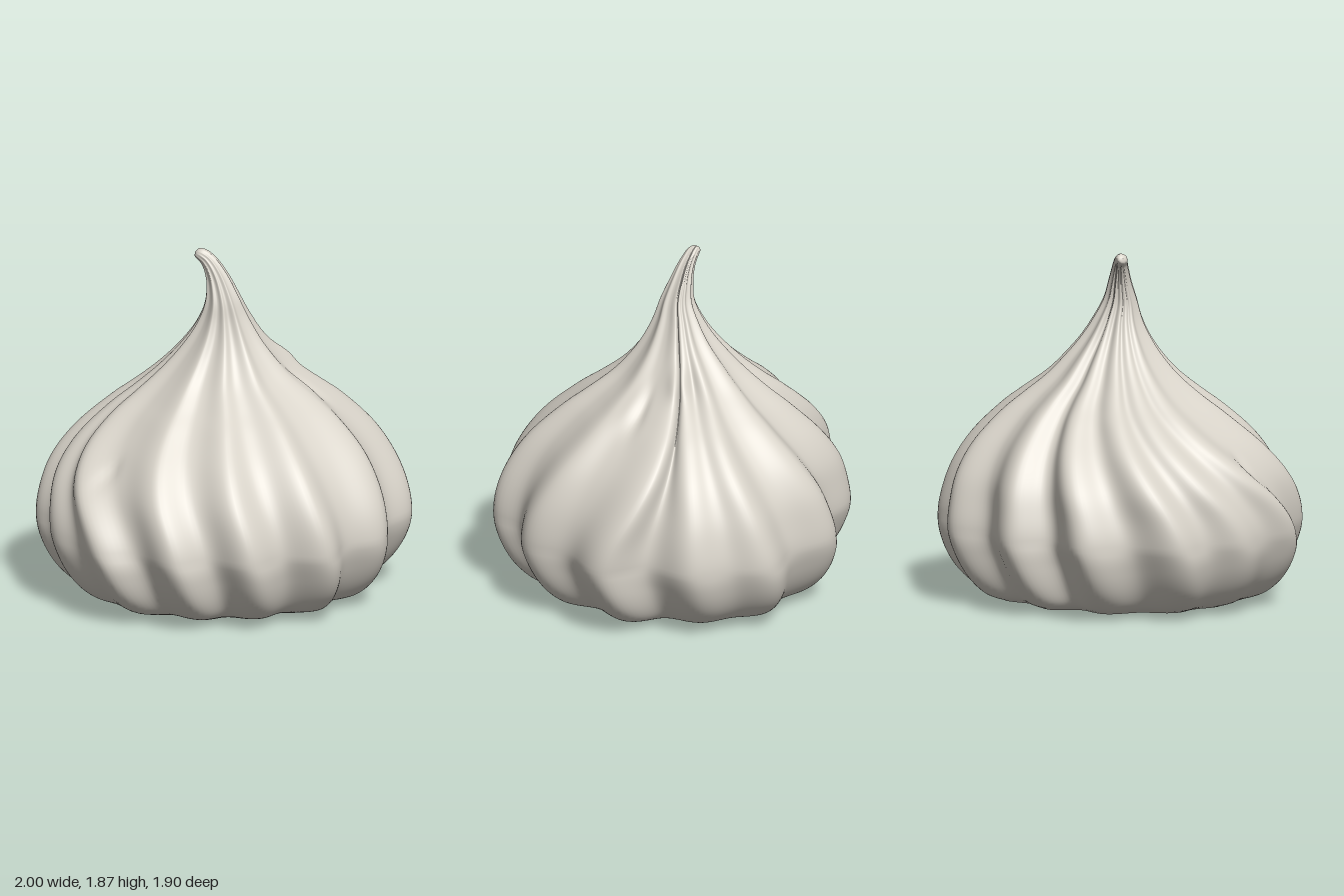
import * as THREE from 'three';

const RAD = Math.PI / 180;
const AROUND = 260;
const UP = 110;

// Lobes around the body: angle in degrees, crest radius, radius of the valley after it, swirl in degrees
const LOBES = [
  [0, 1.0, 0.89, -17], [31, 0.98, 0.89, -7], [56, 0.99, 0.87, 7], [82, 0.96, 0.86, 11],
  [107, 0.97, 0.9, 18], [132, 1.01, 0.95, 34], [157, 0.99, 0.93, 25], [180, 1.0, 0.87, 18],
  [212, 0.95, 0.79, 10], [241, 0.92, 0.82, 5], [273, 0.95, 0.88, 11], [305, 1.0, 0.94, 10],
  [329, 0.97, 0.86, 2],
];

// Height, crest radius, centre x, centre z, tilt, lobe depth
const PROFILE = [
  [0.02, 0.69, 0, 0, 0, 0.75], [0.06, 0.8, 0, 0, 0, 0.85], [0.15, 0.9, 0, 0, 0, 1],
  [0.27, 0.97, 0, 0, 0, 1.05], [0.4, 1.0, 0, 0, 0, 1], [0.55, 0.98, 0, 0, 0, 1],
  [0.7, 0.92, 0, -0.01, 0, 1], [0.85, 0.81, 0.01, -0.02, 0, 1.05], [1.0, 0.645, 0.02, -0.03, 0, 1.1],
  [1.1, 0.51, 0.02, -0.035, 0, 1.1], [1.2, 0.38, 0.01, -0.035, 0, 1.1], [1.3, 0.28, 0.01, -0.03, 0, 1.1],
  [1.4, 0.2, 0.01, -0.02, 0, 1.2], [1.5, 0.14, 0.005, -0.01, 0.05, 1.3],
  [1.6, 0.097, -0.005, 0, 0.12, 1.3], [1.7, 0.067, -0.03, -0.01, 0.3, 1.2],
  [1.77, 0.05, -0.06, -0.02, 0.5, 1], [1.815, 0.04, -0.092, -0.03, 0.75, 0.8],
  [1.838, 0.034, -0.122, -0.035, 0.95, 0.5], [1.846, 0.024, -0.143, -0.04, 1.05, 0.2],
  [1.85, 0, -0.153, -0.04, 1.1, 0],
];

// Small folds and dents: angle, height, angular width, height width, amount
const FOLDS = [
  [-20, 1.25, 7, 0.07, 0.035], [-36, 1.2, 7, 0.12, -0.03], [5, 1.1, 4, 0.08, -0.025],
  [14, 1.14, 5, 0.08, 0.018], [142, 0.77, 3, 0.06, -0.02],
];

// Lobed outline at one angle: its radius and how far it swirls
function lobeAt(deg, height) {
  const k = LOBES.findLastIndex((l) => l[0] <= deg);
  const [start, crest, valley, twist] = LOBES[k];
  const next = LOBES[(k + 1) % LOBES.length];
  const end = next[0] > start ? next[0] : 360;
  const t = (deg - start) / (end - start);
  // Higher up the crests grow narrower and lean over the valley before them
  const upper = THREE.MathUtils.smoothstep(height, 0.3, 1);
  const low = 0.52 + 0.06 * upper;
  const phase = t < low ? t / low : (1 - t) / (1 - low);
  const peak = t < low ? crest : next[1];
  const wave = 0.5 + 0.5 * Math.cos(phase * Math.PI);
  return {
    radius: valley + (peak - valley) * Math.pow(wave, 1 + 0.2 * upper),
    twist: THREE.MathUtils.lerp(twist, next[3], THREE.MathUtils.smoothstep(t, 0, 1)),
  };
}

function foldOffset(deg, y) {
  return FOLDS.reduce((sum, [a, h, da, dh, amount]) => {
    const d = ((deg - a + 540) % 360) - 180;
    return sum + amount * Math.exp(-((d / da) ** 2) - ((y - h) / dh) ** 2);
  }, 0);
}

// Skins a stack of lobed rings
function loft(rows) {
  const positions = [];
  const index = [];
  rows.forEach(([y, radius, cx, cz, tilt, depth], i) => {
    const rise = THREE.MathUtils.smoothstep(y, 0.3, 1.15);
    const footTurn = -6 * Math.max(0, 1 - y / 0.4);
    for (let j = 0; j < AROUND; j++) {
      const deg = (j / AROUND) * 360;
      const lobe = lobeAt(deg, y);
      const turned = deg + lobe.twist * rise + footTurn;
      const r = radius * (1 + (lobe.radius - 1) * depth) + foldOffset(turned, y);
      const x = r * Math.cos(turned * RAD);
      positions.push(cx + x * Math.cos(tilt), y + x * Math.sin(tilt), cz + r * Math.sin(turned * RAD));
      if (i === rows.length - 1) continue;
      const a = i * AROUND + j;
      const b = i * AROUND + ((j + 1) % AROUND);
      index.push(a, a + AROUND, b, b, a + AROUND, b + AROUND);
    }
  });
  const geometry = new THREE.BufferGeometry();
  geometry.setAttribute('position', new THREE.Float32BufferAttribute(positions, 3));
  geometry.setIndex(index);
  geometry.computeVertexNormals();
  return geometry;
}

// Smooth rows through the profile
function smoothRows() {
  const curve = (a, b, c) => new THREE.CatmullRomCurve3(
    PROFILE.map((p) => new THREE.Vector3(p[a], p[b], p[c])), false, 'catmullrom', 0.5);
  const shape = curve(0, 1, 2);
  const lean = curve(3, 4, 5);
  return Array.from({ length: UP + 1 }, (_, i) => [
    ...shape.getPoint(i / UP).toArray(), ...lean.getPoint(i / UP).toArray()]);
}

export function createModel() {
  const group = new THREE.Group();
  group.name = 'swirledBulb';
  const cream = new THREE.MeshStandardMaterial({ color: 0xd8d3c9 });
  cream.name = 'warm cream';

  const body = new THREE.Mesh(loft(smoothRows()), cream);
  body.name = 'swirledBody';
  group.add(body);

  // Flat underside with a small central nub
  const underside = [[0, 0], [0.004, 0.03], [0.015, 0.07], [0.02, 0.11], [0.02, 0.69]]
    .map(([y, r]) => [y, r, 0, 0, 0, 0.75]);
  const base = new THREE.Mesh(loft(underside), cream);
  base.name = 'flatBase';
  group.add(base);
  return group;
}
